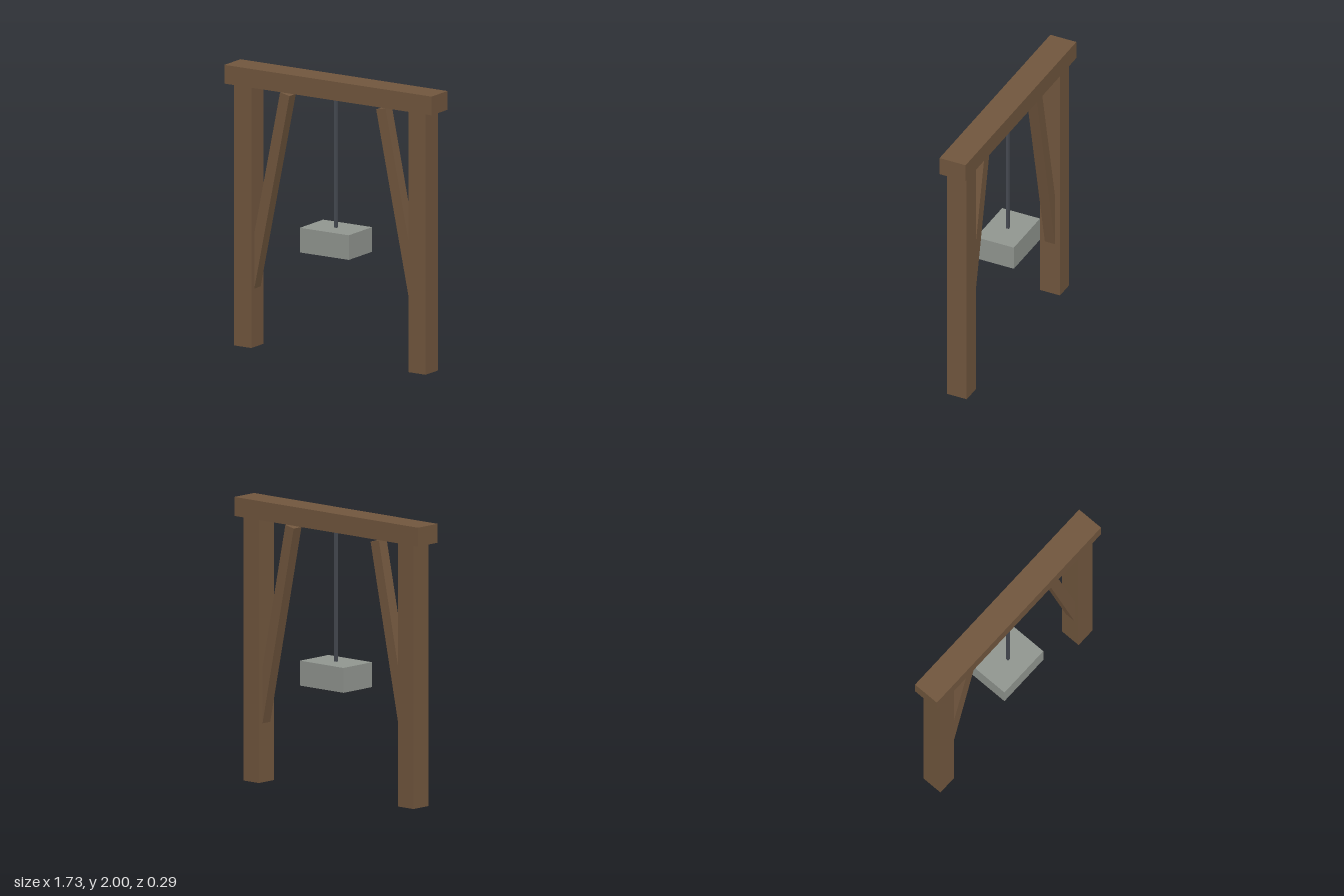
import * as THREE from 'three';

const wood = new THREE.MeshStandardMaterial({ color: 0x73583f });
wood.name = 'brown wood';
const stone = new THREE.MeshStandardMaterial({ color: 0x939892 });
stone.name = 'grey stone';
const iron = new THREE.MeshStandardMaterial({ color: 0x484c54 });
iron.name = 'dark iron';

// Named box, given by its size and centre
function box(name, material, size, centre) {
  const mesh = new THREE.Mesh(new THREE.BoxGeometry(...size), material);
  mesh.name = name;
  mesh.position.set(...centre);
  return mesh;
}

export function createModel() {
  const model = new THREE.Group();
  model.name = 'hangingWeightFrame';

  // Crossbeam on top of the posts
  model.add(box('crossbeam', wood, [1.725, 0.134, 0.202], [0, 1.933, 0]));

  for (const side of [1, -1]) {
    const prefix = side > 0 ? 'left' : 'right';

    // Upright post
    model.add(box(prefix + 'Post', wood, [0.144, 1.866, 0.155], [side * 0.726, 0.933, 0]));

    // Slanted brace, its foot buried in the post and its head just under the beam
    const foot = new THREE.Vector2(0.7, 0.392);
    const head = new THREE.Vector2(0.4, 1.839);
    const mid = foot.clone().add(head).multiplyScalar(0.5);
    const brace = box(prefix + 'Brace', wood, [0.08, foot.distanceTo(head), 0.08], [side * mid.x, mid.y, 0]);
    brace.rotation.z = side * Math.atan2(foot.x - head.x, head.y - foot.y);
    model.add(brace);
  }

  // Hanging rod and the block it carries
  model.add(box('hangingRod', iron, [0.02, 0.945, 0.02], [0, 1.3725, 0]));
  model.add(box('weightBlock', stone, [0.408, 0.176, 0.294], [0, 0.844, 0]));

  return model;
}
